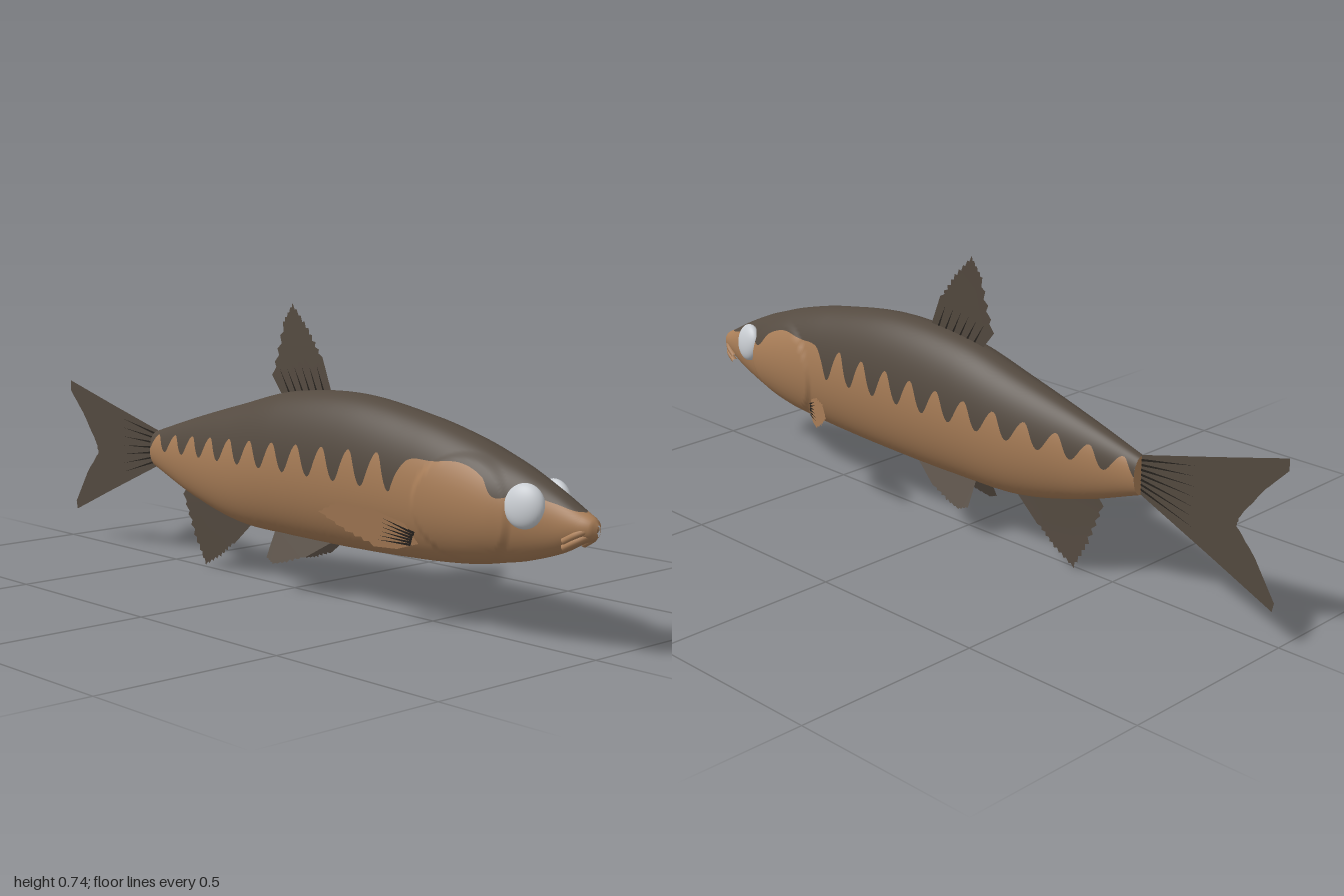
import * as THREE from 'three';

const flat = (name, color, side = THREE.FrontSide) => {
  const m = new THREE.MeshStandardMaterial({ color, side });
  m.name = name;
  return m;
};

// Smooth interpolation through rows [z, value, ...], z descending
function sample(rows, z, k) {
  let i = 0;
  while (i < rows.length - 2 && z < rows[i + 1][0]) i++;
  const slope = (a, b) => (rows[b][k] - rows[a][k]) / (rows[b][0] - rows[a][0]);
  const tangent = n => slope(Math.max(n - 1, 0), Math.min(n + 1, rows.length - 1));
  const h = rows[i + 1][0] - rows[i][0];
  const t = THREE.MathUtils.clamp((z - rows[i][0]) / h, 0, 1);
  const t2 = t * t, t3 = t2 * t;
  return (2 * t3 - 3 * t2 + 1) * rows[i][k] + (t3 - 2 * t2 + t) * h * tangent(i)
    + (3 * t2 - 2 * t3) * rows[i + 1][k] + (t3 - t2) * h * tangent(i + 1);
}

// z, top, bottom, half width
const PROFILE = [
  [1, 0.313, 0.287, 0.006], [0.99, 0.325, 0.278, 0.02], [0.96, 0.34, 0.265, 0.032],
  [0.9, 0.372, 0.235, 0.046], [0.8, 0.418, 0.203, 0.07], [0.74, 0.44, 0.19, 0.084],
  [0.65, 0.47, 0.173, 0.093], [0.5, 0.506, 0.16, 0.1], [0.25, 0.54, 0.151, 0.106],
  [0, 0.525, 0.15, 0.104], [-0.2, 0.475, 0.157, 0.088], [-0.4, 0.42, 0.202, 0.058],
  [-0.58, 0.365, 0.265, 0.028],
];
// Height where the dark back meets the tan flank: z, y
const HEAD_EDGE = [
  [1, 0.36], [0.97, 0.338], [0.9, 0.352], [0.83, 0.365], [0.77, 0.352], [0.75, 0.36],
  [0.72, 0.395], [0.65, 0.42], [0.57, 0.415], [0.5, 0.412], [0.47, 0.38], [0.45, 0.335],
];
function edgeHeight(z) {
  if (z > 0.45) return sample(HEAD_EDGE, z, 1);
  const t = (0.45 - z) / 1.03;
  const wave = Math.cos((z - 0.21) / 0.094 * Math.PI * 2);
  return 0.375 - 0.04 * t * t + wave * (0.045 - 0.023 * t);
}

// Point on the body; a = 0 at the back, growing towards the fish's left
function bodyPoint(z, a) {
  const top = sample(PROFILE, z, 1), bottom = sample(PROFILE, z, 2);
  const y = (top + bottom) / 2 + (top - bottom) / 2 * Math.cos(a);
  // raised gill cover ending in a rounded step
  const r = Math.hypot((z - 0.66) / 0.14, (y - 0.31) / 0.13);
  const gill = 0.006 * (1 - THREE.MathUtils.smoothstep(r, 0.9, 1.05));
  return new THREE.Vector3((sample(PROFILE, z, 3) + gill) * Math.sin(a), y, z);
}

// Lengthwise strip of the body between two angles given per station
function bodyStrip(range) {
  const rows = 260, cols = 32, pos = [], nor = [], idx = [], e = 0.003;
  for (let i = 0; i <= rows; i++) {
    const z = 1 - 1.58 * Math.pow(i / rows, 1.15);
    const c = (sample(PROFILE, z, 1) + sample(PROFILE, z, 2)) / 2;
    const h = sample(PROFILE, z, 1) - c;
    const [a0, a1] = range(Math.acos(THREE.MathUtils.clamp((edgeHeight(z) - c) / h, -1, 1)));
    for (let j = 0; j <= cols; j++) {
      const a = a0 + (a1 - a0) * j / cols;
      const da = bodyPoint(z, a + 0.01).sub(bodyPoint(z, a - 0.01));
      const dz = bodyPoint(Math.max(z - e, -0.58), a).sub(bodyPoint(Math.min(z + e, 1), a));
      pos.push(...bodyPoint(z, a).toArray());
      nor.push(...da.cross(dz).normalize().toArray());
      if (i < rows && j < cols) {
        const p = i * (cols + 1) + j, q = p + cols + 1;
        idx.push(p, p + 1, q, p + 1, q + 1, q);
      }
    }
  }
  const g = new THREE.BufferGeometry();
  g.setAttribute('position', new THREE.Float32BufferAttribute(pos, 3));
  g.setAttribute('normal', new THREE.Float32BufferAttribute(nor, 3));
  g.setIndex(idx);
  return g;
}

// Flat fin from [z, y] outline; edges from..to are ragged; lean gives x
function finGeometry(outline, from, to, lean, teeth = 4, depth = 0.012) {
  const pts = [];
  outline.forEach(([z, y], i) => {
    pts.push(new THREE.Vector2(z, y));
    if (i < from || i >= to) return;
    const [z2, y2] = outline[i + 1], len = Math.hypot(z2 - z, y2 - y);
    const cz = outline.reduce((s, p) => s + p[0], 0) / outline.length;
    const cy = outline.reduce((s, p) => s + p[1], 0) / outline.length;
    for (let k = 1; k < teeth * 2; k++) {
      const t = k / (teeth * 2), p = new THREE.Vector2(z + (z2 - z) * t, y + (y2 - y) * t);
      if (k % 2) p.lerp(new THREE.Vector2(cz, cy), Math.min(depth, len * 0.1) / p.distanceTo(new THREE.Vector2(cz, cy)));
      pts.push(p);
    }
  });
  const g = new THREE.ShapeGeometry(new THREE.Shape(pts));
  const p = g.attributes.position;
  for (let i = 0; i < p.count; i++) {
    const z = p.getX(i), y = p.getY(i);
    p.setXYZ(i, lean(z, y), y, z);
  }
  g.computeVertexNormals();
  return g;
}

export function createModel() {
  const model = new THREE.Group();
  model.name = 'fish';
  const back = flat('dark back', 0x544a40);
  const belly = flat('tan belly', 0xa87d57);
  const fin = flat('dark fin', 0x544a40, THREE.DoubleSide);
  const tanFin = flat('tan fin', 0xa87d57, THREE.DoubleSide);
  const ray = flat('fin ray', 0x25211d, THREE.DoubleSide);
  const eyeMat = flat('pale eye', 0xc9cdd2);
  const add = (name, geometry, material) => {
    const m = new THREE.Mesh(geometry, material);
    m.name = name;
    model.add(m);
    return m;
  };
  // Thin tapering rays fanning from a fin's root
  const addRays = (name, starts, ends, lean) => starts.forEach(([z, y], i) => {
    const [z2, y2] = ends[i], l = Math.hypot(z2 - z, y2 - y);
    const nz = -(y2 - y) / l * 0.003, ny = (z2 - z) / l * 0.003;
    for (const off of [-0.0015, 0.0015])
      add(name, finGeometry([[z + nz, y + ny], [z - nz, y - ny], [z2, y2]], 9, 9, (a, b) => lean(a, b) + off), ray);
  });
  const fan = (a, b, n) => Array.from({ length: n }, (_, i) =>
    [a[0] + (b[0] - a[0]) * i / (n - 1), a[1] + (b[1] - a[1]) * i / (n - 1)]);

  // Body
  add('back', bodyStrip(b => [-b, b]), back);
  add('belly', bodyStrip(b => [b, Math.PI * 2 - b]), belly);
  const stump = add('tailStump', new THREE.CircleGeometry(1, 32), belly);
  stump.scale.set(0.028, 0.05, 1);
  stump.rotation.y = Math.PI;
  stump.position.set(0, 0.315, -0.58);

  // Lips wrapped round the snout
  for (const [name, y, tip] of [['upperLip', 0.303, 0.988], ['lowerLip', 0.288, 0.982]]) {
    const curve = new THREE.CatmullRomCurve3([
      [-0.036, y - 0.032, 0.93], [-0.027, y - 0.012, 0.965], [0, y, tip],
      [0.027, y - 0.012, 0.965], [0.036, y - 0.032, 0.93],
    ].map(p => new THREE.Vector3(...p)));
    add(name, new THREE.TubeGeometry(curve, 32, 0.008, 10), belly);
  }

  // Dorsal, anal and tail fins
  const dorsalLean = (z, y) => Math.max(0, y - 0.53) * 0.045;
  add('dorsalFin', finGeometry([[0.14, 0.53], [0.1, 0.62], [0.045, 0.69], [-0.02, 0.75],
    [-0.055, 0.7], [-0.09, 0.56], [-0.04, 0.5]], 1, 5, dorsalLean), fin);
  addRays('dorsalRay', fan([0.11, 0.535], [-0.02, 0.52], 6), fan([0.08, 0.6], [-0.06, 0.58], 6), dorsalLean);

  const analLean = (z, y) => Math.max(0, 0.17 - y) * 0.06;
  add('analFin', finGeometry([[-0.16, 0.165], [-0.25, 0.09], [-0.31, 0.045], [-0.38, 0.01],
    [-0.425, 0.09], [-0.465, 0.2], [-0.44, 0.23], [-0.3, 0.19]], 1, 5, analLean), fin);

  const tailLean = () => 0;
  add('tailFin', finGeometry([[-0.57, 0.365], [-0.8, 0.423], [-1, 0.475], [-1, 0.445], [-0.94, 0.385],
    [-0.875, 0.3], [-0.865, 0.27], [-0.92, 0.21], [-0.98, 0.115], [-0.975, 0.092],
    [-0.8, 0.17], [-0.57, 0.27]], 3, 7, tailLean, 2, 0.008), fin);
  addRays('tailRay', fan([-0.58, 0.355], [-0.58, 0.28], 7), fan([-0.74, 0.385], [-0.74, 0.23], 7), tailLean);

  for (const side of [1, -1]) {
    const tag = side > 0 ? 'left' : 'right';

    // Eyes
    const eye = add(tag + 'Eye', new THREE.SphereGeometry(1, 40, 28), eyeMat);
    eye.scale.set(0.024, 0.052, 0.051);
    eye.position.set(side * 0.055, 0.34, 0.833);
    eye.rotation.set(0, side * -0.2, side * 0.15);

    // Pectoral fins
    const pecLean = z => side * (0.088 + (0.535 - z) * 0.58);
    add(tag + 'PectoralFin', finGeometry([[0.535, 0.215], [0.505, 0.262], [0.43, 0.295], [0.36, 0.305],
      [0.32, 0.28], [0.38, 0.235], [0.44, 0.203], [0.49, 0.2]], 2, 6, pecLean, 3), tanFin);
    addRays(tag + 'PectoralRay', fan([0.525, 0.24], [0.52, 0.212], 6), fan([0.46, 0.272], [0.45, 0.22], 6), pecLean);

    // Pelvic fins
    add(tag + 'PelvicFin', finGeometry([[0.18, 0.165], [0.09, 0.11], [0.03, 0.088], [-0.02, 0.078],
      [-0.05, 0.09], [-0.05, 0.165]], 1, 4, (z, y) => side * (0.025 + (0.155 - y) * 0.45), 3, 0.007), fin);
  }
  return model;
}
